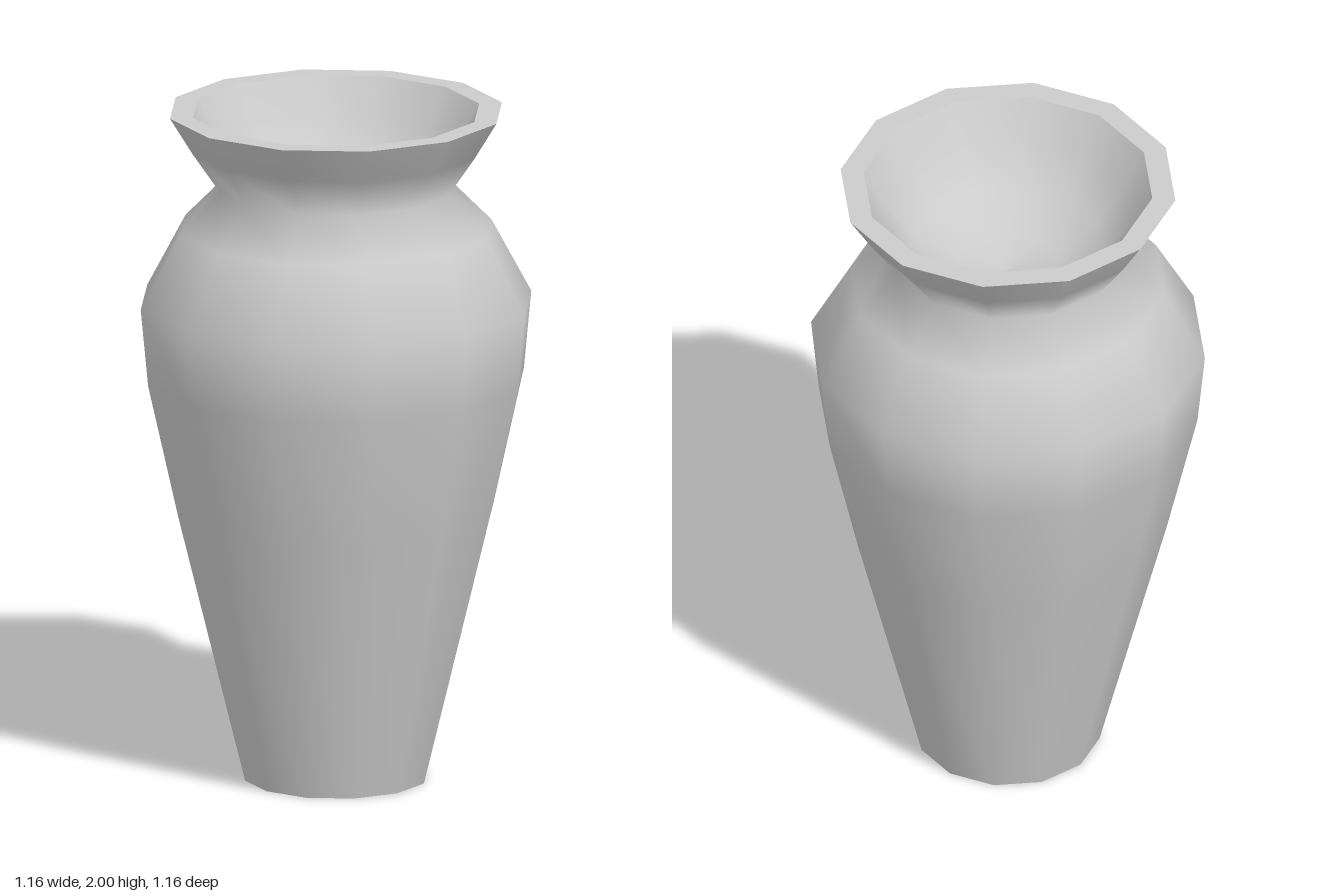
import * as THREE from 'three';

const SIDES = 12;
const material = new THREE.MeshStandardMaterial({ color: 0xcccccc });

// Turns a profile of [radius, height] points; outward faces when listed bottom-centre, outside, lip, inside
function turned(name, profile) {
  const points = profile.map(([r, y]) => new THREE.Vector2(r, y));
  const mesh = new THREE.Mesh(new THREE.LatheGeometry(points, SIDES), material);
  mesh.name = name;
  return mesh;
}

export function createModel() {
  const vase = new THREE.Group();
  vase.name = 'vase';

  vase.add(
    // Flat underside
    turned('base', [[0, 0], [0.27, 0]]),
    // Tapered body, shoulder, pinched neck and flared collar
    turned('body', [
      [0.27, 0], [0.468, 0.8], [0.558, 1.2], [0.58, 1.43],
      [0.462, 1.65], [0.344, 1.77], [0.426, 1.89], [0.493, 2],
    ]),
    // Flat ring on top
    turned('lip', [[0.493, 2], [0.425, 2]]),
    // Rounded hollow inside the collar
    turned('mouth', [[0.425, 2], [0.36, 1.89], [0.28, 1.78], [0.15, 1.71], [0, 1.69]]),
  );

  return vase;
}
